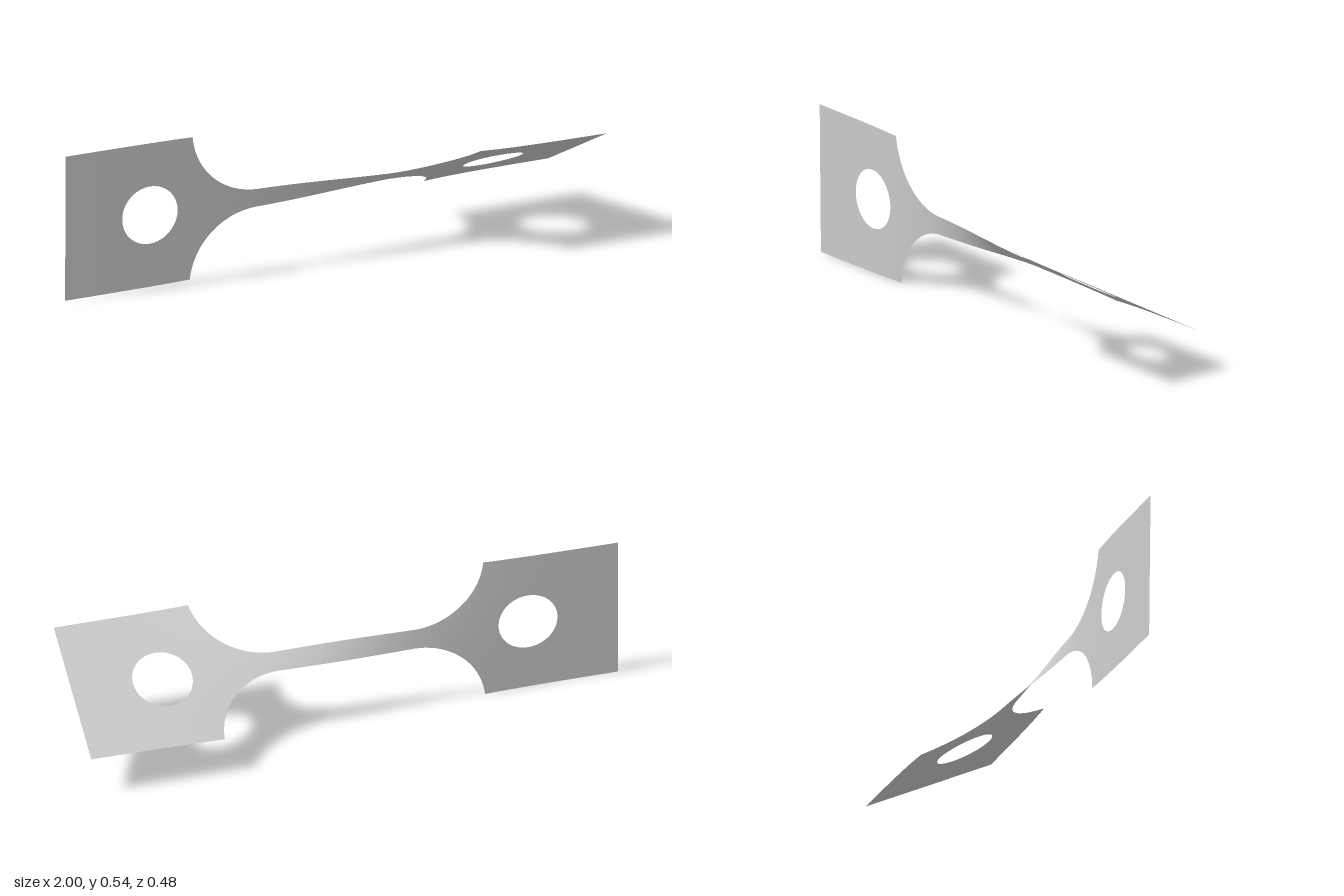
import * as THREE from 'three';
import { mergeVertices } from 'three/addons/utils/BufferGeometryUtils.js';

const HALF = 0.271, NECK = 0.036;          // half widths of the tabs and the neck
const FILLET_X = 0.25, FILLET_R = 0.26;    // concave shoulders
const TAB_X = FILLET_X + Math.sqrt(FILLET_R ** 2 - (NECK + FILLET_R - HALF) ** 2);
const HOLE_X = 0.67, HOLE_R = 0.108;

// Half width of the flat outline at x
function outer(x) {
  const d = Math.abs(x) - FILLET_X;
  if (d <= 0) return NECK;
  if (Math.abs(x) >= TAB_X - 1e-6) return HALF;
  return NECK + FILLET_R - Math.sqrt(FILLET_R ** 2 - d * d);
}

// Half height of the hole at x
function inner(x) {
  const d = Math.abs(x) - HOLE_X;
  return Math.sqrt(Math.max(0, HOLE_R ** 2 - d * d));
}

// Twist about the x axis, concentrated in the neck
const twist = (x) => THREE.MathUtils.degToRad(31.5 + 31 * Math.tanh(x / 0.3));

// Column positions: dense along curves, mirrored about the centre
function columns() {
  const half = [];
  for (let i = 1; i <= 16; i++) half.push(FILLET_X * i / 16);
  for (let i = 1; i <= 20; i++) half.push(FILLET_X + (TAB_X - FILLET_X) * Math.sin(i / 20 * Math.PI / 2));
  half.push((TAB_X + HOLE_X - HOLE_R) / 2);
  for (let i = 0; i <= 32; i++) half.push(HOLE_X - HOLE_R * Math.cos(i / 32 * Math.PI));
  for (let i = 1; i <= 6; i++) half.push(HOLE_X + HOLE_R + (1 - HOLE_X - HOLE_R) * i / 6);
  return [...half.map((x) => -x).reverse(), 0, ...half];
}

// Twisted sheet made of an upper and a lower band around the holes
function sheetGeometry() {
  const xs = columns(), rows = 8, pos = [], index = [];
  for (const side of [1, -1]) {
    const base = pos.length / 3;
    for (const x of xs) {
      const a = twist(x);
      for (let j = 0; j <= rows; j++) {
        const v = side * THREE.MathUtils.lerp(inner(x), outer(x), j / rows);
        pos.push(x, HALF + v * Math.cos(a), v * Math.sin(a));
      }
    }
    for (let i = 0; i < xs.length - 1; i++) {
      for (let j = 0; j < rows; j++) {
        const a = base + i * (rows + 1) + j, b = a + rows + 1;
        if (side > 0) index.push(a, b, b + 1, a, b + 1, a + 1);
        else index.push(a, b + 1, b, a, a + 1, b + 1);
      }
    }
  }
  const g = new THREE.BufferGeometry();
  g.setAttribute('position', new THREE.Float32BufferAttribute(pos, 3));
  g.setIndex(index);
  const merged = mergeVertices(g, 1e-5);
  merged.computeVertexNormals();
  return merged;
}

export function createModel() {
  const group = new THREE.Group();
  group.name = 'twistedStrap';
  const metal = new THREE.MeshStandardMaterial({ color: 0xcccccc, side: THREE.DoubleSide });
  metal.name = 'light grey';
  const sheet = new THREE.Mesh(sheetGeometry(), metal);
  sheet.name = 'twistedPlate';
  group.add(sheet);
  return group;
}
